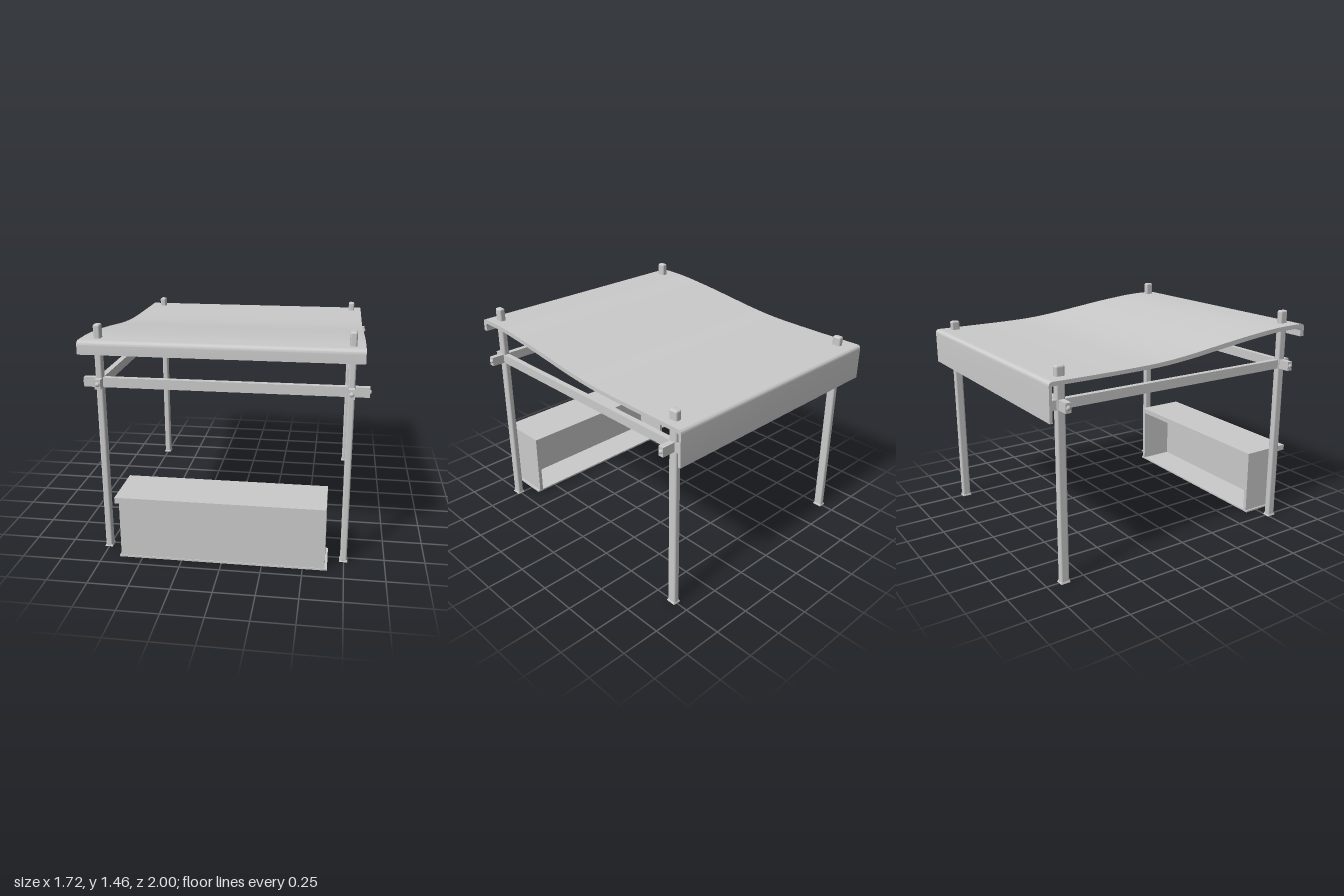
import * as THREE from 'three';
import { toCreasedNormals } from 'three/addons/utils/BufferGeometryUtils.js';
import { RoundedBoxGeometry } from 'three/addons/geometries/RoundedBoxGeometry.js';

export function createModel() {
  const root = new THREE.Group();
  const grey = new THREE.MeshStandardMaterial({ color: 0xcccccc });

  const add = (name, geometry, x, y, z, parent = root) => {
    const mesh = new THREE.Mesh(geometry, grey);
    mesh.name = name;
    mesh.position.set(x, y, z);
    parent.add(mesh);
    return mesh;
  };
  // Box given by its min and max on each axis
  const block = (name, [x0, x1], [y0, y1], [z0, z1], parent) =>
    add(name, new THREE.BoxGeometry(x1 - x0, y1 - y0, z1 - z0),
      (x0 + x1) / 2, (y0 + y1) / 2, (z0 + z1) / 2, parent);

  const postX = 0.75, railY = 1.1;
  const rows = [
    { name: 'front', z: 0.775, height: 1.455 },
    { name: 'back', z: -0.885, height: 1.32 },
  ];

  // Posts with flared feet
  for (const row of rows) {
    for (const side of [-1, 1]) {
      const post = new THREE.Group();
      post.name = row.name + (side > 0 ? 'LeftPost' : 'RightPost');
      post.position.set(side * postX - 0.002, 0, row.z);
      root.add(post);
      add('shaft', new RoundedBoxGeometry(0.042, row.height - 0.004, 0.058, 3, 0.012),
        0, row.height / 2 + 0.002, 0, post);
      const foot = new THREE.CylinderGeometry(0.5, 0.62, 1, 4, 1);
      foot.rotateY(Math.PI / 4);
      foot.scale(0.058, 0.014, 0.073);
      add('foot', toCreasedNormals(foot, 0.5), 0, 0.007, 0, post);
    }
  }

  // Rounded pin heads on the ends of the rails
  const pin = new THREE.SphereGeometry(0.014, 16, 10);
  pin.scale(1, 1, 0.7);

  // Cross rails running side to side
  for (const row of rows) {
    block(row.name + 'Rail', [-0.85, 0.855], [railY - 0.03, railY + 0.03],
      [row.z - 0.018, row.z + 0.018]);
    for (const x of [-0.85, 0.855])
      add('railPin', pin, x, railY, row.z).rotation.y = Math.PI / 2;
  }

  // Side rails running front to back
  for (const side of [-1, 1]) {
    block(side > 0 ? 'leftRail' : 'rightRail',
      [side * postX - 0.018, side * postX + 0.018], [railY - 0.029, railY + 0.029], [-0.95, 0.845]);
    for (const z of [-0.95, 0.845]) add('railPin', pin, side * postX, railY, z);
  }

  // Canopy: a wavy sheet with a short front lip and a long back flap, swept across x
  const outline = new THREE.Shape();
  const spline = (points) => outline.splineThru(points.map(([z, y]) => new THREE.Vector2(z, y)));
  outline.moveTo(0.88, 1.29);
  outline.lineTo(0.88, 1.345);
  outline.quadraticCurveTo(0.88, 1.37, 0.85, 1.372);
  spline([[0.65, 1.368], [0.4, 1.345], [0.15, 1.314], [-0.05, 1.288], [-0.25, 1.269],
    [-0.45, 1.262], [-0.7, 1.26], [-0.975, 1.26]]);
  outline.quadraticCurveTo(-1, 1.26, -1, 1.235);
  outline.lineTo(-1, 1.03);
  outline.lineTo(-0.982, 1.03);
  outline.lineTo(-0.982, 1.225);
  outline.quadraticCurveTo(-0.982, 1.236, -0.965, 1.236);
  spline([[-0.7, 1.236], [-0.45, 1.238], [-0.25, 1.243], [-0.05, 1.26], [0.15, 1.285],
    [0.4, 1.316], [0.65, 1.34], [0.83, 1.344]]);
  outline.quadraticCurveTo(0.85, 1.344, 0.85, 1.325);
  outline.lineTo(0.85, 1.29);
  outline.closePath();
  const sheet = new THREE.ExtrudeGeometry(outline, { depth: 1.67, bevelEnabled: false, curveSegments: 8 });
  sheet.rotateY(-Math.PI / 2);
  add('canopy', toCreasedNormals(sheet, 0.7), 0.82, 0, 0);

  // Counter: a box open at the back, with an overhanging top and a thin base
  const counter = new THREE.Group();
  counter.name = 'counter';
  root.add(counter);
  block('counterTop', [-0.635, 0.635], [0.405, 0.442], [0.66, 1], counter);
  block('frontPanel', [-0.635, 0.635], [0.01, 0.405], [0.895, 0.918], counter);
  block('rightPanel', [-0.635, -0.61], [0.01, 0.405], [0.66, 0.895], counter);
  block('leftPanel', [0.61, 0.635], [0.01, 0.405], [0.66, 0.895], counter);
  block('base', [-0.645, 0.65], [0, 0.012], [0.66, 0.922], counter);

  return root;
}
